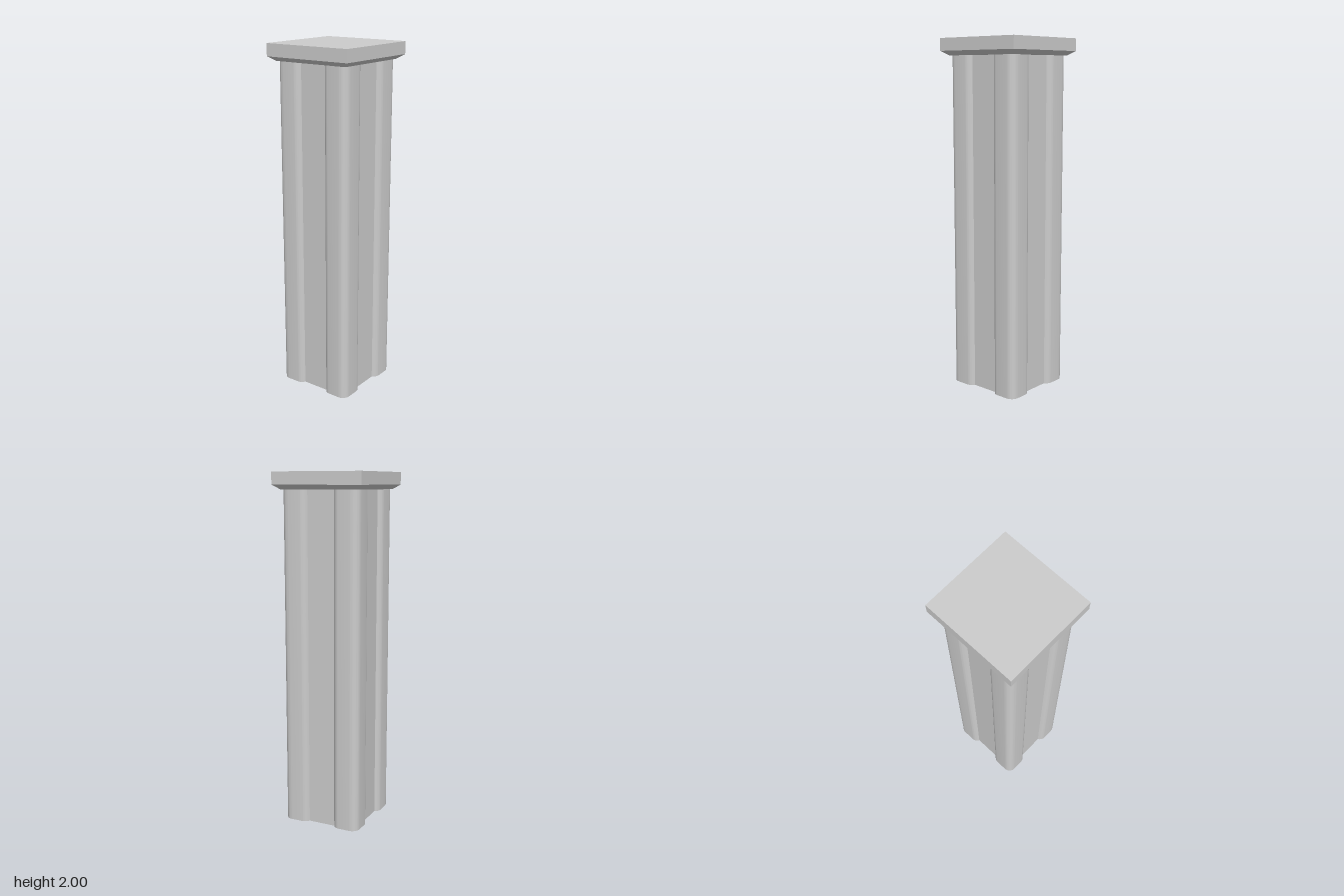
import * as THREE from 'three';
import { toCreasedNormals } from 'three/addons/utils/BufferGeometryUtils.js';

const HX = 0.231, HZ = 0.235;      // shaft half sizes
const RECESS = 0.025, GAP = 0.08;  // depth and half width of the face panels
const SHAFT_TOP = 1.905, BEVEL_TOP = 1.93;

// One corner lobe, from the panel on +x round to the panel on +z
function cornerLobe() {
  const path = new THREE.Path();
  const r = 0.045, blend = 0.12, pull = 0.095;
  path.moveTo(HX - RECESS, GAP);
  path.quadraticCurveTo(HX, pull, HX, blend);
  path.lineTo(HX, HZ - r);
  path.absarc(HX - r, HZ - r, r, 0, Math.PI / 2, false);
  path.lineTo(blend, HZ);
  path.quadraticCurveTo(pull, HZ, GAP, HZ - RECESS);
  return path.getPoints(8);
}

// Closed outline made by mirroring the lobe into all four corners
function shaftOutline() {
  const lobe = cornerLobe();
  const back = [...lobe].reverse();
  const flip = (pts, sx, sz) => pts.map((p) => new THREE.Vector2(p.x * sx, p.y * sz));
  return [...lobe, ...flip(back, -1, 1), ...flip(lobe, -1, -1), ...flip(back, 1, -1)];
}

// Hollow shaft wall, open at both ends
function shaftGeometry() {
  const outline = shaftOutline();
  const pos = [];
  outline.forEach((a, i) => {
    const b = outline[(i + 1) % outline.length];
    if (a.distanceTo(b) < 1e-6) return;
    pos.push(a.x, 0, a.y, a.x, SHAFT_TOP, a.y, b.x, SHAFT_TOP, b.y);
    pos.push(a.x, 0, a.y, b.x, SHAFT_TOP, b.y, b.x, 0, b.y);
  });
  const geo = new THREE.BufferGeometry();
  geo.setAttribute('position', new THREE.Float32BufferAttribute(pos, 3));
  return toCreasedNormals(geo, 0.6);
}

// Square block whose lower face is narrowed to the shaft size
function bevelGeometry(width, depth) {
  const h = BEVEL_TOP - SHAFT_TOP;
  const geo = new THREE.BoxGeometry(width, h, depth);
  const p = geo.attributes.position;
  for (let i = 0; i < p.count; i++) {
    if (p.getY(i) < 0) {
      p.setX(i, Math.sign(p.getX(i)) * HX);
      p.setZ(i, Math.sign(p.getZ(i)) * HZ);
    }
  }
  const flat = geo.toNonIndexed();
  flat.computeVertexNormals();
  return flat;
}

export function createModel() {
  const group = new THREE.Group();
  group.name = 'pillar';
  const grey = new THREE.MeshStandardMaterial({ color: 0xcccccc });
  const thin = new THREE.MeshStandardMaterial({ color: 0xcccccc, side: THREE.DoubleSide });
  const capW = 0.533, capD = 0.542;

  const add = (name, geo, mat, y) => {
    const mesh = new THREE.Mesh(geo, mat);
    mesh.name = name;
    mesh.position.y = y;
    group.add(mesh);
  };

  add('shaft', shaftGeometry(), thin, 0);
  add('capBevel', bevelGeometry(capW, capD), grey, (SHAFT_TOP + BEVEL_TOP) / 2);
  add('capSlab', new THREE.BoxGeometry(capW, 2 - BEVEL_TOP, capD), grey, (2 + BEVEL_TOP) / 2);
  return group;
}
